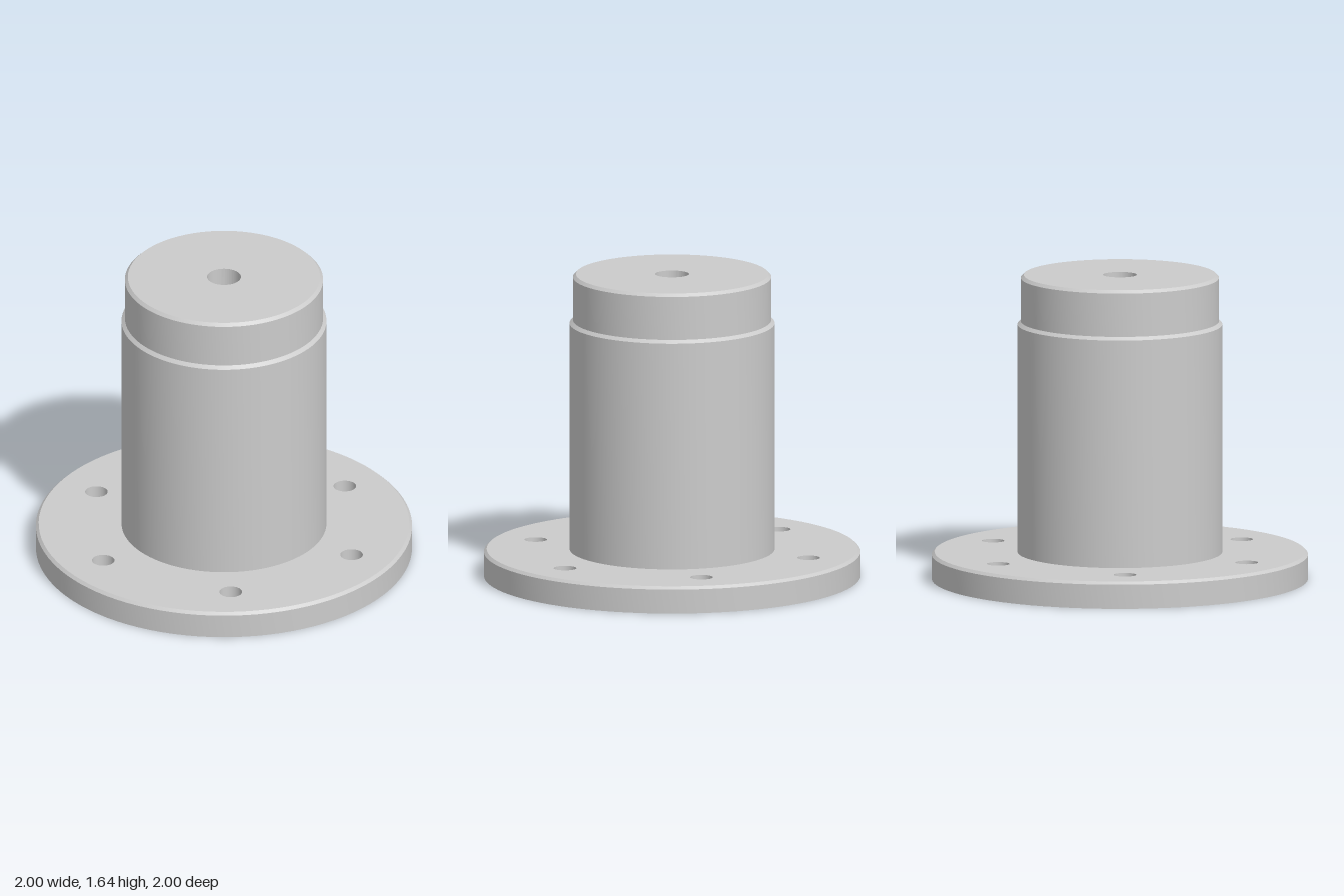
import * as THREE from 'three';
import { toCreasedNormals } from 'three/addons/utils/BufferGeometryUtils.js';

const SEG = 96;
const FLANGE_H = 0.145, BODY_R = 0.545;
const BOLT_COUNT = 6, BOLT_R = 0.06, BOLT_CIRCLE = 0.763;

const material = new THREE.MeshStandardMaterial({ color: 0xcccccc });
const innerMaterial = new THREE.MeshStandardMaterial({ color: 0xcccccc, side: THREE.BackSide });

function addMesh(parent, name, geometry, mat = material) {
  const mesh = new THREE.Mesh(geometry, mat);
  mesh.name = name;
  parent.add(mesh);
  return mesh;
}

// Surface of revolution with sharp profile corners
function turned(profile) {
  const points = profile.map(([r, y]) => new THREE.Vector2(r, y));
  return toCreasedNormals(new THREE.LatheGeometry(points, SEG), 0.4);
}

const boltPositions = Array.from({ length: BOLT_COUNT }, (_, i) => {
  const a = Math.PI / 2 + (i * 2 * Math.PI) / BOLT_COUNT;
  return [BOLT_CIRCLE * Math.cos(a), BOLT_CIRCLE * Math.sin(a)];
});

// Flat disc pierced by the bolt holes and, optionally, a central opening
function drilledDisc(radius, openingRadius = 0) {
  const shape = new THREE.Shape().absarc(0, 0, radius, 0, Math.PI * 2);
  const cut = (x, y, r) => shape.holes.push(new THREE.Path().absarc(x, y, r, 0, Math.PI * 2, true));
  boltPositions.forEach(([x, y]) => cut(x, y, BOLT_R));
  if (openingRadius) cut(0, 0, openingRadius);
  return new THREE.ShapeGeometry(shape, SEG / 2);
}

export function createModel() {
  const model = new THREE.Group();
  model.name = 'flangedShaft';

  // Flange: two drilled faces, chamfered rim and through-hole walls
  const flange = new THREE.Group();
  flange.name = 'flange';
  model.add(flange);
  addMesh(flange, 'flangeUnderside', drilledDisc(1).rotateX(Math.PI / 2));
  addMesh(flange, 'flangeTop', drilledDisc(0.985, BODY_R).rotateX(-Math.PI / 2).translate(0, FLANGE_H, 0));
  addMesh(flange, 'flangeRim', turned([[1, 0], [1, FLANGE_H - 0.015], [0.985, FLANGE_H]]));
  const holeWall = new THREE.CylinderGeometry(BOLT_R, BOLT_R, FLANGE_H, SEG, 1, true);
  boltPositions.forEach(([x, z]) => {
    addMesh(flange, 'boltHole', holeWall, innerMaterial).position.set(x, FLANGE_H / 2, z);
  });

  // Stepped shaft with chamfered shoulders and a blind centre bore
  addMesh(model, 'shaft', turned([
    [BODY_R, FLANGE_H], [BODY_R, 1.37], [0.527, 1.387],
    [0.527, 1.62], [0.511, 1.636],
    [0.09, 1.636], [0.09, 1.3], [0, 1.3],
  ]));

  return model;
}
